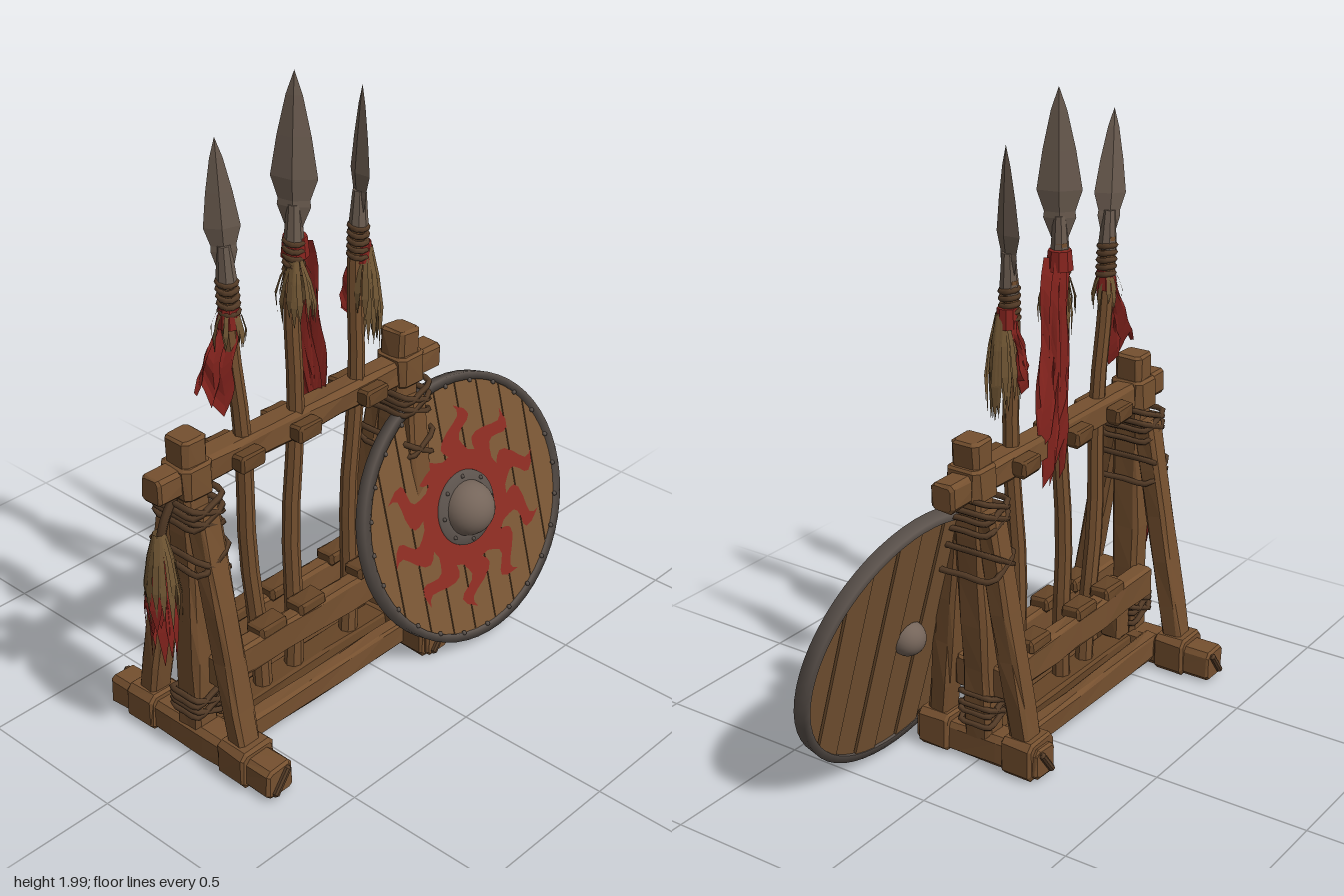
import * as THREE from 'three';
import { mergeGeometries } from 'three/addons/utils/BufferGeometryUtils.js';

const V = (x, y, z) => new THREE.Vector3(x, y, z);
const mat = (name, color, extra = {}) => {
  const m = new THREE.MeshStandardMaterial({ color, ...extra });
  m.name = name;
  return m;
};
const flat = { flatShading: true }, thin = { side: THREE.DoubleSide, flatShading: true };
const M = {
  wood: mat('wood', 0x75502f, flat),
  darkWood: mat('dark wood', 0x664527, flat),
  board: mat('shield board', 0x7b5735, flat),
  iron: mat('blade iron', 0x6b5c50, flat),
  rim: mat('rim iron', 0x5b524c),
  boss: mat('boss iron', 0x75655a),
  paint: mat('red paint', 0x8c2c22, thin),
  cloth: mat('red cloth', 0x86241e, thin),
  straw: mat('straw', 0x6f5533, thin),
  rope: mat('rope', 0x553c27),
};

let seed = 7;
const rnd = () => (seed = (seed * 16807) % 2147483647) / 2147483647;
const noise = (x, y, z) => {
  const s = Math.sin(Math.round(x * 500) * 12.9 + Math.round(y * 500) * 78.2 + Math.round(z * 500) * 37.7) * 43758.5;
  return s - Math.floor(s) - 0.5;
};

function mesh(parent, name, geo, material) {
  const m = new THREE.Mesh(geo, material);
  m.name = name;
  parent.add(m);
  return m;
}

// Rough-hewn chamfered timber from a to b; u = height (or x width when not along x), v = depth
function beam(parent, name, a, b, u, v, material = M.wood, rough = 0.007) {
  const dir = b.clone().sub(a), len = dir.length(), c = 0.008;
  dir.normalize();
  const x = u / 2 - c, y = v / 2 - c, k = Math.min(x, y) * 0.25;
  const s = new THREE.Shape([[-x + k, -y], [x - k, -y], [x, -y + k], [x, y - k], [x - k, y], [-x + k, y], [-x, y - k], [-x, -y + k]]
    .map(p => new THREE.Vector2(...p)));
  const geo = new THREE.ExtrudeGeometry(s, { depth: len - 2 * c, steps: Math.max(1, Math.round(len / 0.15)), bevelSize: c, bevelThickness: c, bevelSegments: 1 });
  geo.translate(0, 0, c);
  const p = geo.attributes.position;
  for (let i = 0; i < p.count; i++) {
    const [px, py, pz] = [p.getX(i), p.getY(i), p.getZ(i)];
    p.setXY(i, px + rough * noise(px, py, pz + len), py + rough * noise(py, pz, px + len));
  }
  const ref = Math.abs(dir.x) > 0.8 ? V(0, 1, 0) : V(1, 0, 0);
  const yAxis = dir.clone().cross(ref).normalize(), xAxis = yAxis.clone().cross(dir);
  geo.applyMatrix4(new THREE.Matrix4().makeBasis(xAxis, yAxis, dir).setPosition(a));
  geo.computeVertexNormals();
  return mesh(parent, name, geo, material);
}

// Several rope turns round a squared timber
function lashing(parent, name, c, hx, hz, turns, slant = 0.02) {
  const loops = [];
  for (let i = 0; i < turns; i++) {
    const y = (i - (turns - 1) / 2) * 0.019, t = slant * (i % 2 ? 1 : -1);
    const pts = [[-1, -1], [0, -1.08], [1, -1], [1.08, 0], [1, 1], [0, 1.08], [-1, 1], [-1.08, 0]]
      .map(([a, b]) => V(c.x + a * hx, c.y + y + a * t, c.z + b * hz));
    loops.push(new THREE.TubeGeometry(new THREE.CatmullRomCurve3(pts, true), 24, 0.01, 5, true));
  }
  mesh(parent, name, mergeGeometries(loops), M.rope);
}

// Hanging cloth between a top and a bottom edge, folded and ragged
function cloth(parent, name, a0, b0, a1, b1, fold = 0.014) {
  const geo = new THREE.PlaneGeometry(1, 1, 10, 10), p = geo.attributes.position;
  for (let i = 0; i < p.count; i++) {
    const u = p.getX(i) + 0.5, v = 0.5 - p.getY(i);
    const drop = v * (0.86 + 0.14 * Math.sin(u * 17 + 1));
    const q = a0.clone().lerp(b0, u).lerp(a1.clone().lerp(b1, u), drop);
    const w = fold * Math.sin(u * 14 + v * 2) * (0.3 + v);
    p.setXYZ(i, q.x + w * 0.5 + 0.008 * Math.sin(v * 9), q.y, q.z + w);
  }
  geo.computeVertexNormals();
  return mesh(parent, name, geo, M.cloth);
}

// Tuft of tapering strands fanning down from a point
function tassel(parent, name, c, n, len, spread, width, material) {
  const pos = [];
  for (let i = 0; i < n; i++) {
    const ang = i * 2.4 + rnd(), l = len * (0.6 + 0.4 * rnd()), s = spread * (0.4 + 0.6 * rnd());
    const out = V(Math.cos(ang), 0, Math.sin(ang)), side = V(-out.z, 0, out.x);
    const at = (t, k) => c.clone().addScaledVector(out, 0.018 + s * Math.sin(t * 2)).addScaledVector(side, k * width * (t < 0.9 ? 0.5 + t * 0.5 : 0)).add(V(0, -l * t, 0));
    for (let j = 0; j < 3; j++) {
      const [A, B, C, D] = [at(j / 3, -1), at(j / 3, 1), at((j + 1) / 3, 1), at((j + 1) / 3, -1)];
      for (const q of j < 2 ? [A, B, C, A, C, D] : [A, B, C]) pos.push(q.x, q.y, q.z);
    }
  }
  const geo = new THREE.BufferGeometry();
  geo.setAttribute('position', new THREE.Float32BufferAttribute(pos, 3));
  geo.computeVertexNormals();
  mesh(parent, name, geo, material);
}

// Post, splayed legs and foot of one end of the rack
function endFrame(root, name, xFoot, xTop, reach, legZ) {
  const g = new THREE.Group();
  g.name = name;
  root.add(g);
  beam(g, 'foot', V(xFoot, 0.06, -reach), V(xFoot, 0.06, reach), 0.1, 0.1);
  beam(g, 'post', V(xFoot, 0.03, 0), V(xTop, 1.075, 0), 0.088, 0.095);
  const xl = xFoot + (xTop - xFoot) * 0.8;
  for (const s of [-1, 1]) {
    beam(g, 'leg', V(xFoot, 0.07, s * legZ), V(xl, 0.86, s * 0.055), 0.08, 0.07);
    beam(g, 'legShoe', V(xFoot, 0.07, s * (legZ - 0.06)), V(xFoot, 0.07, s * (legZ + 0.05)), 0.13, 0.125);
    beam(g, 'footLashing', V(xFoot - 0.03, 0.02, s * (reach + 0.002)), V(xFoot + 0.03, 0.1, s * (reach + 0.002)), 0.012, 0.008, M.rope, 0);
    // crossed rope on the top joint
    for (const d of [-1, 1])
      beam(g, 'crossLashing', V(xTop - 0.045, 0.945 - d * 0.045, s * 0.064), V(xTop + 0.045, 0.945 + d * 0.045, s * 0.064), 0.016, 0.016, M.rope, 0);
  }
  beam(g, 'jointBlock', V(xTop, 0.892, 0), V(xTop, 0.995, 0), 0.11, 0.12);
  lashing(g, 'upperLashing', V(xl, 0.85, 0), 0.052, 0.082, 4);
  lashing(g, 'middleLashing', V(xl, 0.7, 0), 0.052, 0.1, 2, 0.03);
  lashing(g, 'lowerLashing', V(xFoot, 0.19, 0), 0.05, 0.053, 4);
}

function spear(root, name, foot, tip, headLen, width, turn) {
  const g = new THREE.Group(), L = tip.distanceTo(foot), h = L - headLen;
  g.name = name;
  g.position.copy(foot);
  g.quaternion.setFromUnitVectors(V(0, 1, 0), tip.clone().sub(foot).normalize());
  root.add(g);
  const shaft = new THREE.CylinderGeometry(0.023, 0.03, h, 8, 10).translate(0, h / 2, 0), p = shaft.attributes.position;
  for (let i = 0; i < p.count; i++) {
    const y = p.getY(i);
    p.setX(i, p.getX(i) + 0.005 * Math.sin(y * 9));
    p.setZ(i, p.getZ(i) + 0.005 * Math.cos(y * 7));
  }
  mesh(g, 'shaft', shaft, M.wood);
  mesh(g, 'socket', new THREE.CylinderGeometry(0.02, 0.03, 0.12, 8).translate(0, h + 0.02, 0), M.iron);
  // diamond-section blade
  const w = width / 2, prof = [[0.02, 0], [w * 0.72, 0.16], [w * 0.68, 0.2], [w, 0.34], [w * 0.72, 0.6], [w * 0.35, 0.85], [0, 1]];
  const blade = new THREE.LatheGeometry(prof.map(([r, y]) => new THREE.Vector2(r, h + y * headLen)), 4);
  mesh(g, 'blade', blade.scale(0.34, 1, 1).rotateY(turn), M.iron);
  for (let i = 0; i < 5; i++)
    mesh(g, 'shaftBinding', new THREE.TorusGeometry(0.026, 0.009, 5, 10).rotateX(Math.PI / 2 + 0.15).translate(0, h - 0.03 - i * 0.022, 0), M.rope);
}

function shield(root) {
  const g = new THREE.Group(), R = 0.415, n = 9;
  g.name = 'shield';
  g.position.set(0.367, 0.447, 0.163);
  g.rotation.set(-0.27, -0.07, 0, 'YXZ');
  root.add(g);
  // vertical planks cut to the circle
  for (let i = 0; i < n; i++) {
    const x0 = -R + (2 * R * i) / n + 0.002, x1 = x0 + (2 * R) / n - 0.004, pts = [];
    const edge = x => Math.sqrt(Math.max(0, R * R - x * x));
    for (let j = 0; j <= 6; j++) { const x = x0 + ((x1 - x0) * j) / 6; pts.push(new THREE.Vector2(x, -edge(x))); }
    for (let j = 6; j >= 0; j--) { const x = x0 + ((x1 - x0) * j) / 6; pts.push(new THREE.Vector2(x, edge(x) + 1e-4)); }
    const depth = 0.024 + 0.006 * (i % 2);
    mesh(g, 'plank', new THREE.ExtrudeGeometry(new THREE.Shape(pts), { depth, bevelEnabled: false }).translate(0, 0, 0.012 - depth), M.board);
  }
  mesh(g, 'plankBacking', new THREE.CylinderGeometry(R, R, 0.016, 48).rotateX(Math.PI / 2), M.board);
  const ring = (name, pts, m) => mesh(g, name, new THREE.LatheGeometry(pts.map(q => new THREE.Vector2(...q)), 56).rotateX(Math.PI / 2), m);
  ring('rim', [[0.407, -0.021], [0.432, -0.021], [0.432, 0.021], [0.407, 0.021], [0.407, -0.021]], M.rim);
  ring('bossFlange', [[0.122, 0.01], [0.12, 0.022], [0.09, 0.028], [0.08, 0.028]], M.rim);
  const dome = (r, s) => new THREE.SphereGeometry(r, 24, 10, 0, Math.PI * 2, 0, Math.PI / 2).rotateX((s * Math.PI) / 2);
  mesh(g, 'boss', dome(0.09, 1).translate(0, 0, 0.02), M.boss);
  mesh(g, 'backBoss', dome(0.055, -1).translate(0, 0, -0.015), M.boss);
  for (let i = 0; i < 24; i++) {
    const a = (i / 24) * Math.PI * 2;
    mesh(g, 'rimRivet', new THREE.SphereGeometry(0.008, 6, 4).translate(0.405 * Math.cos(a), 0.405 * Math.sin(a), 0.02), M.rim);
    if (i % 3 === 0) mesh(g, 'flangeRivet', new THREE.SphereGeometry(0.007, 6, 4).translate(0.106 * Math.cos(a), 0.106 * Math.sin(a), 0.026), M.rim);
  }
  // painted sun with ten wavy rays
  const sun = [], rays = 10, step = (Math.PI * 2) / rays;
  const polar = (r, a) => sun.push(new THREE.Vector2(r * Math.cos(a), r * Math.sin(a)));
  for (let i = 0; i < rays; i++) {
    const a = 1.52 + i * step, sway = t => 0.14 * Math.sin(t * 6.2);
    const half = t => step * 0.37 * (1 - t) ** 0.75;
    for (let j = 0; j <= 8; j++) polar(0.185 + 0.15 * (j / 8), a + sway(j / 8) - half(j / 8));
    for (let j = 7; j >= 0; j--) polar(0.185 + 0.15 * (j / 8), a + sway(j / 8) + half(j / 8));
  }
  const shape = new THREE.Shape(sun);
  shape.holes.push(new THREE.Path().absarc(0, 0, 0.115, 0, Math.PI * 2, true));
  mesh(g, 'paintedSun', new THREE.ShapeGeometry(shape, 24).translate(0, 0, 0.0145), M.paint);
}

export function createModel() {
  const root = new THREE.Group();
  root.name = 'spearRack';
  endFrame(root, 'rightEndFrame', -0.637, -0.64, 0.34, 0.2);
  endFrame(root, 'leftEndFrame', 0.19, 0.245, 0.225, 0.16);

  // Rails
  beam(root, 'topBeam', V(-0.775, 0.95, 0), V(0.39, 0.935, 0), 0.085, 0.08);
  for (const s of [-1, 1]) {
    beam(root, 'baseRail', V(-0.62, 0.075, s * 0.11), V(0.2, 0.07, s * 0.11), 0.08, 0.05);
    beam(root, 'shelfBeam', V(-0.63, 0.295, s * 0.065), V(0.21, 0.28, s * 0.065), 0.105, 0.06);
    for (const x of [-0.46, -0.23, 0.055])
      beam(root, 'spearClamp', V(x - 0.047, 0.94, s * 0.06), V(x + 0.047, 0.94, s * 0.06), 0.055, 0.05, M.darkWood);
    for (const x of [-0.405, -0.24, 0.02])
      beam(root, 'shelfBlock', V(x - 0.055, 0.347, s * 0.06), V(x + 0.055, 0.347, s * 0.06), 0.04, 0.07, M.darkWood);
  }
  beam(root, 'baseBoard', V(-0.62, 0.07, 0), V(0.2, 0.07, 0), 0.05, 0.09, M.darkWood);
  beam(root, 'shelfStrut', V(-0.555, 0.1, 0), V(-0.555, 0.3, 0), 0.07, 0.08);

  // Spears
  spear(root, 'firstSpear', V(-0.375, 0.09, 0), V(-0.495, 1.89, 0), 0.39, 0.1, 0.85);
  spear(root, 'secondSpear', V(-0.24, 0.09, 0), V(-0.208, 2, 0.01), 0.46, 0.135, 0.52);
  spear(root, 'thirdSpear', V(0.005, 0.09, 0), V(0.07, 1.885, 0), 0.39, 0.1, 2.88);

  // Cloths and straw tied to the spears
  for (const [x, y, r] of [[-0.463, 1.365, 0.034], [-0.205, 1.49, 0.042], [0.067, 1.385, 0.034]])
    mesh(root, 'clothKnot', new THREE.CylinderGeometry(r * 0.85, r, 0.06, 9, 2).translate(x, y, 0), M.cloth);
  cloth(root, 'longBanner', V(-0.215, 1.5, -0.03), V(-0.165, 1.5, 0.025), V(-0.135, 0.9, -0.07), V(-0.05, 0.93, -0.03));
  cloth(root, 'longBannerBack', V(-0.21, 1.49, -0.035), V(-0.17, 1.49, -0.01), V(-0.125, 0.82, -0.08), V(-0.06, 0.8, -0.04));
  cloth(root, 'firstCloth', V(-0.49, 1.37, -0.02), V(-0.455, 1.36, 0.02), V(-0.575, 1.14, -0.05), V(-0.495, 1.05, 0.01));
  cloth(root, 'thirdCloth', V(0.045, 1.39, -0.02), V(0.075, 1.38, -0.03), V(0.018, 1.19, -0.03), V(0.07, 1.15, -0.07));
  tassel(root, 'firstStraw', V(-0.463, 1.4, 0), 14, 0.14, 0.035, 0.009, M.straw);
  tassel(root, 'secondStraw', V(-0.222, 1.46, 0.02), 24, 0.22, 0.045, 0.011, M.straw);
  tassel(root, 'thirdStraw', V(0.077, 1.4, 0.01), 40, 0.33, 0.04, 0.012, M.straw);

  // Tassel hung from the beam end
  const cord = new THREE.CatmullRomCurve3([V(-0.69, 0.9, 0), V(-0.72, 0.83, -0.01), V(-0.735, 0.75, -0.02)]);
  mesh(root, 'tasselCord', new THREE.TubeGeometry(cord, 8, 0.014, 6), M.rope);
  tassel(root, 'hangingStraw', V(-0.735, 0.79, -0.02), 36, 0.32, 0.04, 0.012, M.straw);
  tassel(root, 'hangingRedStrips', V(-0.74, 0.72, -0.02), 18, 0.37, 0.032, 0.022, M.cloth);

  shield(root);
  return root;
}
